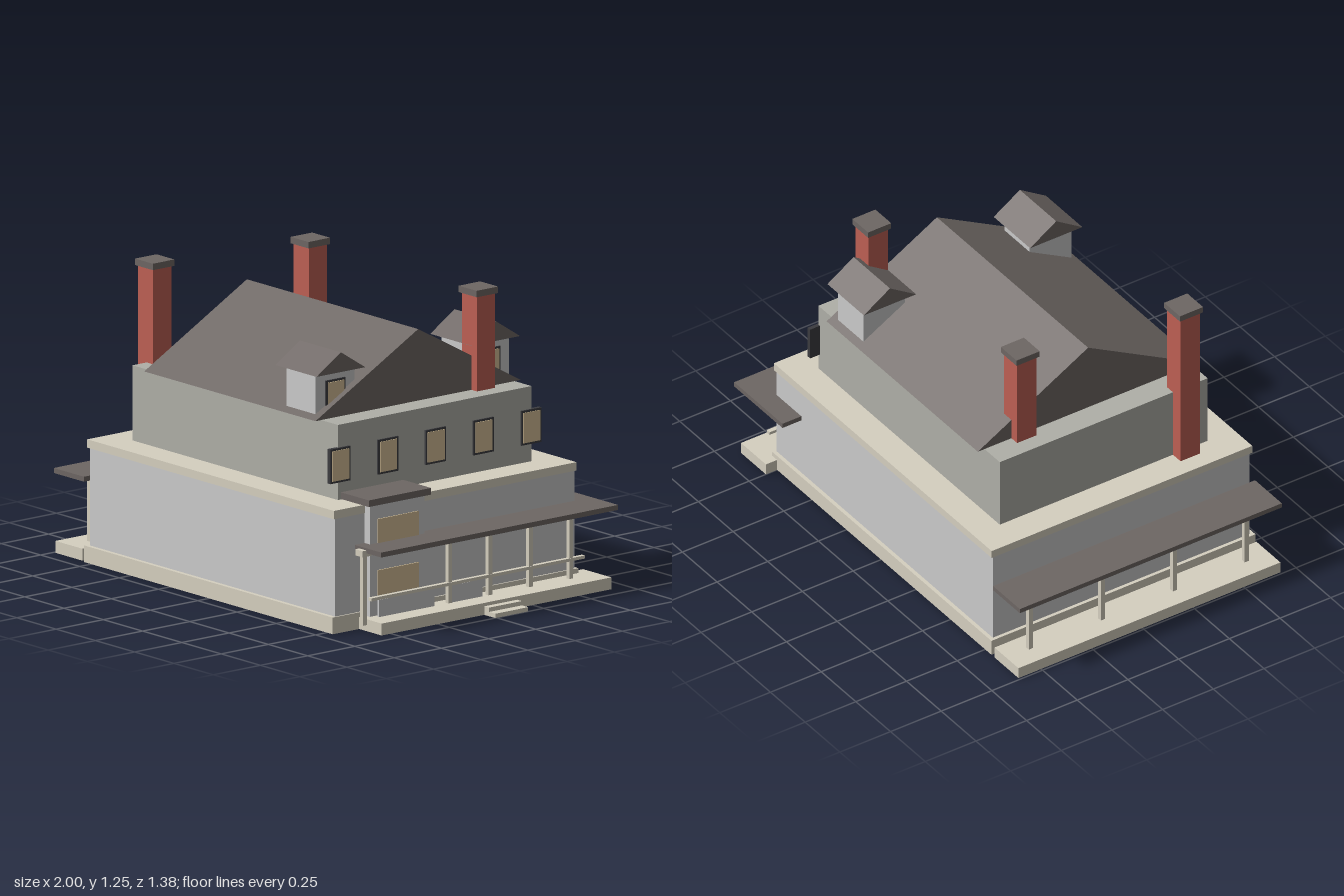
import * as THREE from 'three';

const mat = (color) => new THREE.MeshStandardMaterial({ color, flatShading: true });

export function createModel() {
  const house = new THREE.Group();
  house.name = 'house';

  const wall = mat(0xcccccc);
  const upperWall = mat(0xb0b0a8);
  const stone = mat(0xd6d0c0);
  const slate = mat(0x6e6764);
  const brick = mat(0xbe6054);
  const frame = mat(0x3c3c40);
  const glass = mat(0xd6c098);

  // Box given by its limits on each axis
  function box(name, material, [x0, x1], [y0, y1], [z0, z1], parent = house) {
    const mesh = new THREE.Mesh(new THREE.BoxGeometry(x1 - x0, y1 - y0, z1 - z0), material);
    mesh.position.set((x0 + x1) / 2, (y0 + y1) / 2, (z0 + z1) / 2);
    mesh.name = name;
    parent.add(mesh);
    return mesh;
  }

  // Gable prism with its ridge running along x
  function gable(name, [x0, x1], [y0, y1], [z0, z1], parent = house) {
    const half = (z1 - z0) / 2;
    const shape = new THREE.Shape([
      new THREE.Vector2(-half, 0), new THREE.Vector2(half, 0), new THREE.Vector2(0, y1 - y0),
    ]);
    const geo = new THREE.ExtrudeGeometry(shape, { depth: x1 - x0, bevelEnabled: false });
    geo.rotateY(Math.PI / 2);
    const mesh = new THREE.Mesh(geo, slate);
    mesh.position.set(x0, y0, (z0 + z1) / 2);
    mesh.name = name;
    parent.add(mesh);
  }

  // Dark-framed window facing +x
  function framedWindow(x, [y0, y1], z, width, parent = house) {
    const g = new THREE.Group();
    g.name = 'window';
    const h = width / 2, b = 0.009;
    box('windowFrame', frame, [x - 0.01, x + 0.008], [y0, y1], [z - h, z + h], g);
    box('windowPane', glass, [x, x + 0.011], [y0 + b, y1 - b], [z - h + b, z + h - b], g);
    parent.add(g);
  }

  // Main storeys
  box('foundation', stone, [-0.795, 0.787], [0, 0.07], [-0.612, 0.69]);
  box('lowerWalls', wall, [-0.78, 0.78], [0.07, 0.48], [-0.595, 0.672]);
  box('cornice', stone, [-0.787, 0.783], [0.48, 0.515], [-0.605, 0.68]);
  box('upperWalls', upperWall, [-0.655, 0.652], [0.515, 0.83], [-0.475, 0.55]);
  gable('mainRoof', [-0.545, 0.545], [0.83, 1.13], [-0.508, 0.58]);

  // Upper side windows
  for (let i = 0; i < 5; i++) framedWindow(0.652, [0.59, 0.735], 0.543 - i * 0.253, 0.107);

  // Dormers
  for (const z of [0.446, -0.374]) {
    const dormer = new THREE.Group();
    dormer.name = 'dormer';
    box('dormerWalls', wall, [0.325, 0.508], [0.835, 1.017], [z - 0.103, z + 0.103], dormer);
    gable('dormerRoof', [0.284, 0.546], [1.015, 1.098], [z - 0.129, z + 0.129], dormer);
    framedWindow(0.506, [0.872, 0.98], z, 0.104, dormer);
    house.add(dormer);
  }

  // Chimneys: x, z, base height
  for (const [x, z, y] of [[0.532, -0.294, 0.83], [-0.538, -0.294, 0.83], [-0.662, 0.427, 0.515]]) {
    const chimney = new THREE.Group();
    chimney.name = 'chimney';
    box('chimneyStack', brick, [x - 0.048, x + 0.048], [y, 1.23], [z - 0.048, z + 0.048], chimney);
    box('chimneyCap', slate, [x - 0.057, x + 0.057], [1.228, 1.255], [z - 0.057, z + 0.057], chimney);
    house.add(chimney);
  }

  // Bay on the left side
  box('bayWalls', wall, [0.66, 0.813], [0.05, 0.518], [0.225, 0.515]);
  box('bayRoof', slate, [0.65, 0.83], [0.517, 0.545], [0.205, 0.534]);
  for (const y of [0.135, 0.335])
    box('bayWindow', glass, [0.8, 0.818], [y, y + (y < 0.2 ? 0.105 : 0.12)], [0.26, 0.475]);

  // Left porch: floor, steps, roof
  box('leftPorchFloor', stone, [0.75, 0.93], [0, 0.05], [-0.667, 0.55]);
  box('upperStep', stone, [0.92, 0.96], [0, 0.036], [-0.168, 0.006]);
  box('lowerStep', stone, [0.95, 1.0], [0, 0.018], [-0.168, 0.006]);
  box('leftPorchRoof', slate, [0.6, 0.948], [0.333, 0.354], [-0.688, 0.567]);

  // Porch columns with capitals
  for (const z of [0.565, 0.114, -0.099, -0.313, -0.527]) {
    const corner = z > 0.5;
    const base = corner ? 0.028 : 0.05, top = corner ? 0.345 : 0.334;
    box('porchColumn', stone, [0.823, 0.843], [base, top - 0.01], [z - 0.01, z + 0.01]);
    box('columnCapital', stone, [0.809, 0.855], [top - 0.026, top], [z - 0.023, z + 0.023]);
  }

  // Railing and the panels below it
  box('porchRail', stone, [0.826, 0.846], [0.124, 0.137], [-0.597, 0.534]);
  box('railPanel', wall, [0.828, 0.84], [0.05, 0.122], [0.195, 0.488]);
  box('railPanel', wall, [0.828, 0.84], [0.05, 0.122], [-0.06, 0.114]);

  // Right porch
  box('rightPorchFloor', stone, [-0.99, -0.817], [0, 0.05], [-0.612, 0.68]);
  box('rightPorchRoof', slate, [-1.0, -0.807], [0.333, 0.354], [-0.612, 0.68]);
  for (let i = 0; i < 4; i++) {
    const z = -0.495 + i * 0.355;
    box('rightPorchColumn', stone, [-0.908, -0.888], [0.05, 0.334], [z - 0.01, z + 0.01]);
  }

  return house;
}
